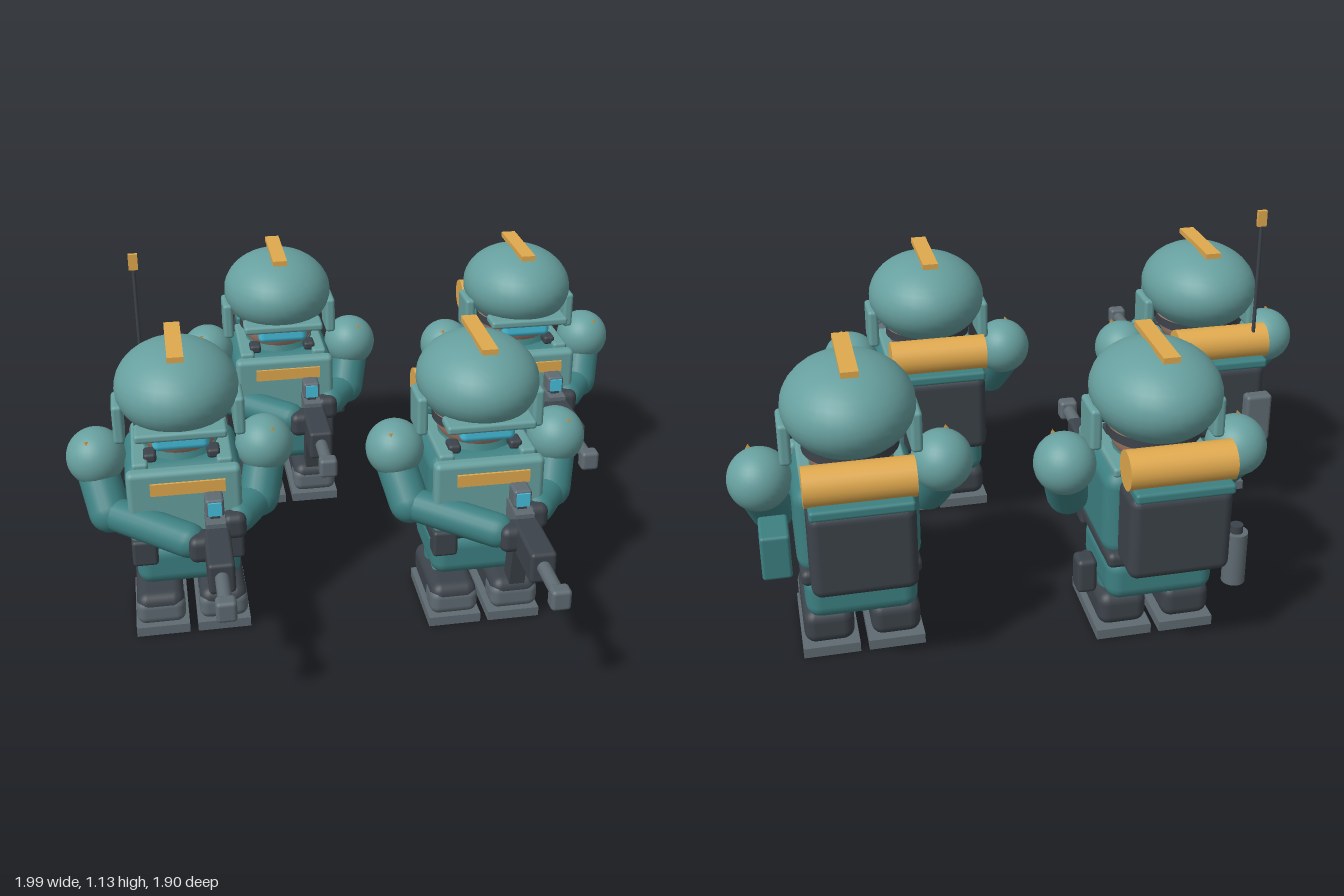
import * as THREE from 'three';
import { RoundedBoxGeometry } from 'three/addons/geometries/RoundedBoxGeometry.js';

const paint = (color) => new THREE.MeshStandardMaterial({ color });
const M = {
  light: paint(0x67a09f), teal: paint(0x3d8082), dark: paint(0x3c434a), grey: paint(0x5f6b72),
  gold: paint(0xe0a94e), glass: paint(0x45bfdc), skin: paint(0xa67f6e),
};

function add(parent, name, geo, mat, x, y, z) {
  const mesh = new THREE.Mesh(geo, mat);
  mesh.name = name;
  mesh.position.set(x, y, z);
  parent.add(mesh);
  return mesh;
}
const box = (w, h, d) => new THREE.BoxGeometry(w, h, d);
const soft = (w, h, d, r = 0.02) => new RoundedBoxGeometry(w, h, d, 3, r);
const ball = (rx, ry, rz) => new THREE.SphereGeometry(1, 32, 20).scale(rx, ry, rz);
const rod = (r, len, axis = 'y', r2 = r) => {
  const g = new THREE.CylinderGeometry(r, r2, len, 24);
  if (axis === 'z') g.rotateX(Math.PI / 2);
  if (axis === 'x') g.rotateZ(Math.PI / 2);
  return g;
};

// Rounded limb between two points
function limb(parent, name, a, b, r, mat) {
  const A = new THREE.Vector3(...a), B = new THREE.Vector3(...b);
  const dir = B.clone().sub(A);
  const mid = A.clone().add(B).multiplyScalar(0.5);
  const m = add(parent, name, new THREE.CapsuleGeometry(r, dir.length(), 6, 20), mat, mid.x, mid.y, mid.z);
  m.quaternion.setFromUnitVectors(new THREE.Vector3(0, 1, 0), dir.normalize());
}

function rifle() {
  const g = new THREE.Group();
  g.name = 'rifle';
  g.position.set(0.085, 0.4, 0);
  add(g, 'receiver', box(0.06, 0.125, 0.16), M.grey, 0, -0.005, 0.235);
  add(g, 'handguard', soft(0.08, 0.1, 0.215, 0.012), M.dark, 0, -0.005, 0.417);
  add(g, 'barrel', rod(0.021, 0.16, 'z'), M.grey, 0, 0, 0.59);
  add(g, 'muzzle', soft(0.06, 0.066, 0.05, 0.012), M.grey, 0, 0, 0.68);
  add(g, 'magazine', box(0.05, 0.17, 0.065), M.dark, 0, -0.135, 0.25).rotation.x = 0.16;
  add(g, 'sightMount', box(0.03, 0.03, 0.06), M.dark, 0, 0.06, 0.25);
  add(g, 'sight', soft(0.058, 0.06, 0.065, 0.01), M.grey, 0, 0.093, 0.252);
  add(g, 'sightLens', box(0.042, 0.044, 0.006), M.glass, 0, 0.093, 0.287);
  return g;
}

function soldier() {
  const g = new THREE.Group();
  g.name = 'soldier';

  // Head and helmet
  add(g, 'head', ball(0.135, 0.13, 0.14), M.skin, 0, 0.675, 0.0);
  add(g, 'helmet', ball(0.193, 0.142, 0.226), M.light, 0, 0.787, 0);
  add(g, 'helmetStripe', box(0.05, 0.018, 0.28), M.gold, 0, 0.932, 0.005);
  add(g, 'helmetBrim', soft(0.28, 0.028, 0.09, 0.01), M.light, 0, 0.707, 0.165);
  add(g, 'goggles', soft(0.175, 0.06, 0.045, 0.02), M.glass, 0, 0.668, 0.145);
  add(g, 'goggleStrap', new THREE.CylinderGeometry(0.141, 0.141, 0.03, 32, 1, true), M.dark, 0, 0.668, 0);

  // Torso, vest and belt
  add(g, 'torso', soft(0.36, 0.28, 0.31, 0.05), M.teal, 0, 0.45, 0.01);
  add(g, 'collar', rod(0.12, 0.05, 'y', 0.14), M.teal, 0, 0.585, 0);
  add(g, 'chestPlate', soft(0.35, 0.24, 0.05, 0.018), M.light, 0, 0.47, 0.183);
  add(g, 'chestStripe', box(0.23, 0.04, 0.012), M.gold, 0.01, 0.535, 0.21);
  add(g, 'belt', soft(0.35, 0.05, 0.33, 0.02), M.dark, 0, 0.315, 0.0);
  add(g, 'buckle', box(0.08, 0.05, 0.02), M.grey, 0, 0.318, 0.17);
  add(g, 'hips', soft(0.33, 0.145, 0.3, 0.045), M.teal, 0, 0.225, 0.01);

  // Paired parts
  for (const s of [-1, 1]) {
    add(g, 'earGuard', soft(0.035, 0.13, 0.125, 0.012), M.light, s * 0.187, 0.692, 0.01);
    add(g, 'cheekPad', soft(0.04, 0.03, 0.06, 0.01), M.dark, s * 0.098, 0.605, 0.11);
    add(g, 'vestStrap', soft(0.05, 0.03, 0.3, 0.01), M.light, s * 0.13, 0.59, 0.02);
    add(g, 'beltPouch', soft(0.08, 0.09, 0.06, 0.012), M.dark, s * 0.135, 0.305, 0.175);
    add(g, 'leg', rod(0.068, 0.15), M.teal, s * 0.09, 0.19, 0.0);
    add(g, 'kneePad', soft(0.12, 0.075, 0.06, 0.02), M.light, s * 0.09, 0.165, 0.075);
    add(g, 'boot', soft(0.15, 0.11, 0.3, 0.035), M.dark, s * 0.1, 0.09, 0.058);
    add(g, 'bootToe', soft(0.156, 0.09, 0.11, 0.03), M.grey, s * 0.1, 0.083, 0.155);
    add(g, 'sole', box(0.17, 0.032, 0.304), M.grey, s * 0.098, 0.016, 0.055);
    add(g, 'shoulderPad', ball(0.093, 0.093, 0.098), M.light, s * 0.265, 0.565, 0.012);
    const mark = add(g, 'shoulderMark', new THREE.ConeGeometry(0.02, 0.03, 3), M.gold, s * 0.288, 0.637, 0.065);
    mark.rotation.x = 0.7;
  }

  // Arms: one hand on the handguard, the other on the grip
  const arms = [
    [[-0.265, 0.52, 0.02], [-0.235, 0.415, 0.11], [0.0, 0.405, 0.305], [0.035, 0.4, 0.335]],
    [[0.265, 0.52, 0.02], [0.235, 0.415, 0.09], [0.165, 0.405, 0.185], [0.145, 0.4, 0.215]],
  ];
  for (const [shoulder, elbow, wrist, hand] of arms) {
    limb(g, 'upperArm', shoulder, elbow, 0.065, M.teal);
    limb(g, 'forearm', elbow, wrist, 0.054, M.teal);
    add(g, 'glove', soft(0.075, 0.085, 0.085, 0.025), M.dark, ...hand);
  }
  g.add(rifle());

  // Backpack with bedroll
  add(g, 'backpack', soft(0.3, 0.265, 0.15, 0.03), M.dark, 0, 0.46, -0.22);
  add(g, 'backpackLid', soft(0.29, 0.032, 0.17, 0.01), M.teal, 0, 0.605, -0.228);
  add(g, 'bedroll', rod(0.058, 0.31, 'x'), M.gold, 0, 0.66, -0.236);
  return g;
}

// Individual equipment
function radio(g) {
  add(g, 'radio', soft(0.09, 0.17, 0.05, 0.012), M.grey, -0.12, 0.41, -0.31);
  add(g, 'antenna', rod(0.006, 0.52), M.dark, -0.105, 0.83, -0.267);
  add(g, 'antennaTip', box(0.03, 0.052, 0.014), M.gold, -0.105, 1.1, -0.267);
}
function canteens(g) {
  add(g, 'canteen', rod(0.036, 0.17), M.grey, -0.235, 0.255, -0.115);
  add(g, 'canteenCap', rod(0.02, 0.025), M.dark, -0.235, 0.352, -0.115);
  add(g, 'sidePouch', soft(0.06, 0.11, 0.07, 0.015), M.dark, 0.232, 0.265, -0.115);
}
function sideBag(g) {
  add(g, 'sideBag', soft(0.085, 0.14, 0.13, 0.01), M.teal, 0.238, 0.4, -0.1);
}

export function createModel() {
  const model = new THREE.Group();
  model.name = 'squad';
  const squad = [
    [-0.638, 0.137, radio],
    [-0.238, -0.637, canteens],
    [0.298, 0.242, null],
    [0.64, -0.537, sideBag],
  ];
  for (const [x, z, equip] of squad) {
    const s = soldier();
    s.position.set(x, 0, z);
    if (equip) equip(s);
    model.add(s);
  }
  return model;
}
